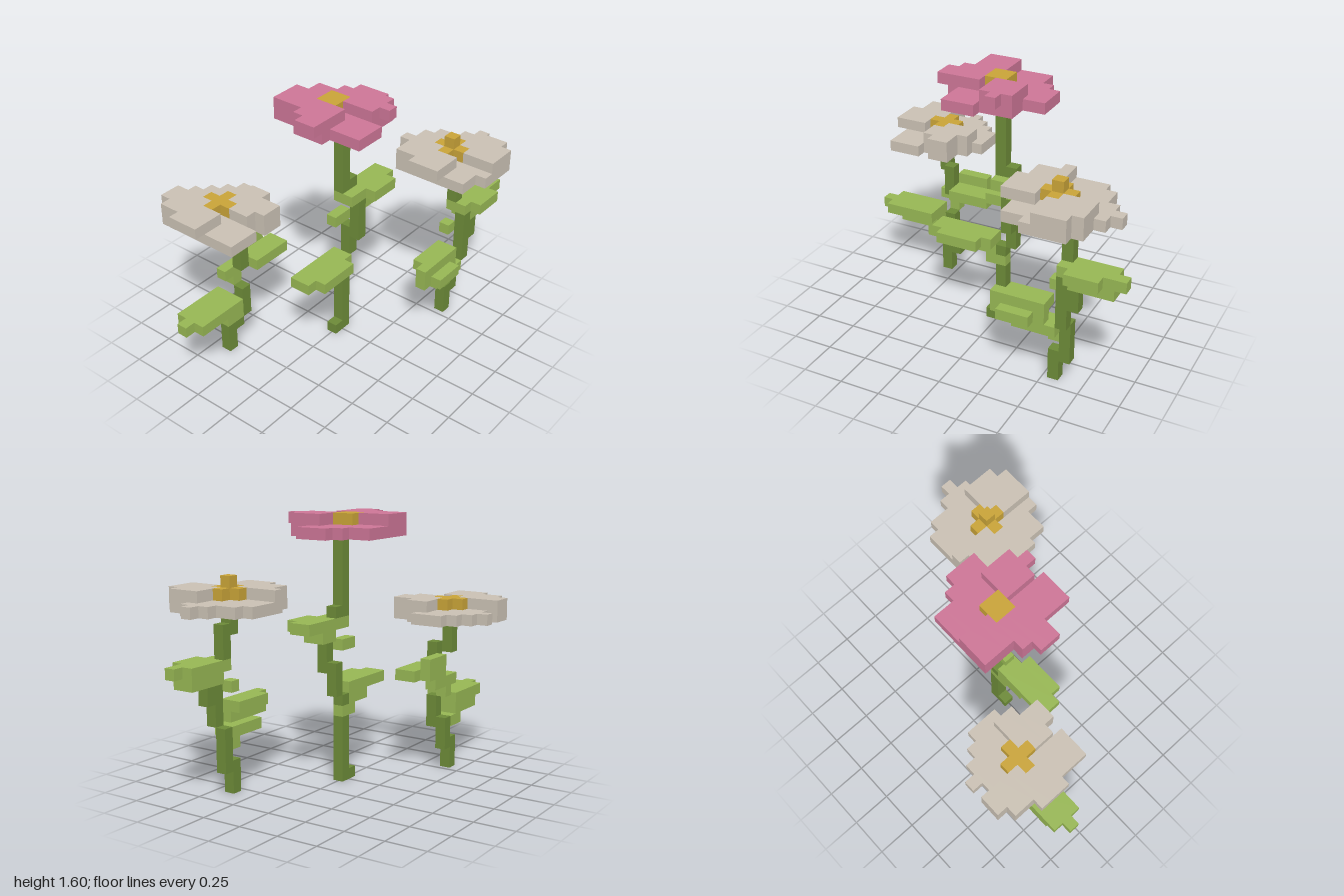
import * as THREE from 'three';
import { mergeGeometries } from 'three/addons/utils/BufferGeometryUtils.js';

const U = 1 / 15; // size of one block

const mat = (name, color) => {
  const m = new THREE.MeshStandardMaterial({ color });
  m.name = name;
  return m;
};

// Box in block units: x and y are edges, z is a range of block layers (inclusive)
function block(x0, x1, y0, y1, z0, z1) {
  const g = new THREE.BoxGeometry((x1 - x0) * U, (y1 - y0) * U, (z1 - z0 + 1) * U);
  return g.translate((x0 + x1) / 2 * U, (y0 + y1) / 2 * U, (z0 + z1) / 2 * U);
}

// Upright run of a stem, one block thick
const stemRun = ([x, z, y0, y1]) => block(x, x + 1, y0, y1, z, z);

// Flat strip of a leaf, one block high
const leafStrip = ([x0, x1, y, z0, z1]) => block(x0, x1, y, y + 1, z0, z1);

// Runs of the given letters in a head map, as boxes one block high
function headLayer(rows, letters, x, y, z) {
  return rows.flatMap((row, j) =>
    [...row.matchAll(new RegExp(`[${letters}]+`, 'g'))].map((run) =>
      block(x + run.index, x + run.index + run[0].length, y, y + 1, z + j, z + j)));
}

function part(name, material, geometries) {
  const mesh = new THREE.Mesh(mergeGeometries(geometries), material);
  mesh.name = name;
  return mesh;
}

export function createModel() {
  const pink = mat('pink petal', 0xcc7596);
  const pale = mat('pale petal', 0xc9c0b3);
  const gold = mat('gold centre', 0xc8a338);
  const stemGreen = mat('stem green', 0x6c8a38);
  const leafGreen = mat('leaf green', 0x96b653);

  const group = new THREE.Group();
  group.name = 'flowers';

  // Head maps run back to front: l = low petal, u = raised petal,
  // U = raised tip with nothing below it, g = centre
  function addFlower(name, petal, [x, y, z], rows, stem, leaves) {
    const flower = new THREE.Group();
    flower.name = name;
    flower.add(
      part('stem', stemGreen, stem.map(stemRun)),
      part('leaves', leafGreen, leaves.map(leafStrip)),
      part('lowerPetals', petal, headLayer(rows, 'lug', x, y, z)),
      part('upperPetals', petal, headLayer(rows, 'uU', x, y + 1, z)),
      part('centre', gold, headLayer(rows, 'g', x, y + 1, z)),
    );
    group.add(flower);
    return flower;
  }

  addFlower('rearFlower', pale, [-13, 14, -10],
    ['..uu.l...', '.uuulll..', '.uuullll.', 'Uuuugllll', 'Uuuggglll',
      'Uuulguuul', '.llluuuu.', '.llluuu..', '.lll.uu..'],
    [[-9, -6, 0, 3], [-8, -6, 2, 5], [-8, -5, 4, 7], [-8, -5, 9, 12], [-9, -6, 11, 14]],
    [
      // low leaf
      [-10, -8, 4, -6, -5], [-13, -9, 5, -6, -5], [-14, -9, 6, -6, -4], [-15, -14, 6, -5, -5],
      // high leaf
      [-8, -7, 7, -6, -6], [-9, -5, 8, -6, -6], [-7, -3, 9, -5, -4], [-7, -4, 9, -6, -6],
      [-7, -4, 10, -6, -6],
    ]);

  addFlower('middleFlower', pink, [-5, 22, -4],
    ['..uuulll..', '..uuulll..', '..uuullll.', '.uuuggllll', 'Uuuuggllll',
      'Uuuuluuull', '..llluuu..', '..llluuu..', '..lll.U...'],
    [[-1, 0, 0, 1], [0, 0, 0, 6], [0, 0, 7, 8], [1, 0, 8, 11], [1, 1, 10, 14],
      [1, 0, 15, 16], [0, 0, 15, 22]],
    [
      // low leaf
      [-1, 1, 6, 0, 0], [-3, 0, 7, 0, 0], [-6, 0, 8, 0, 1], [-5, -1, 8, 2, 2],
      // high leaf
      [-1, 1, 12, 0, 0], [2, 4, 13, 0, 1], [0, 6, 14, 0, 1], [2, 5, 14, 2, 2],
    ]);

  const front = addFlower('frontFlower', pale, [4, 16, 2],
    ['...ulll...', '.uuullll..', '.uuullll..', 'Uuuugllll.', 'Uuugggllll',
      'Uuulguuul.', '.llluuuu..', '.llluuuu..', '...luuu...'],
    [[8, 6, 0, 3], [9, 6, 2, 6], [9, 7, 6, 9], [10, 7, 8, 10], [9, 7, 9, 11],
      [9, 6, 12, 15], [8, 6, 14, 16]],
    [
      // low leaf
      [8, 9, 4, 6, 6], [5, 9, 5, 6, 7], [3, 8, 6, 7, 7], [4, 7, 6, 8, 8],
      [4, 8, 7, 6, 6], [3, 8, 7, 7, 7],
      // high leaf
      [8, 9, 9, 6, 6], [10, 14, 10, 6, 7], [9, 14, 11, 6, 6], [9, 15, 11, 7, 7],
      [10, 13, 11, 8, 8],
    ]);
  front.add(part('centreBud', gold, [block(8, 9, 18, 19, 6, 6)]));

  return group;
}
